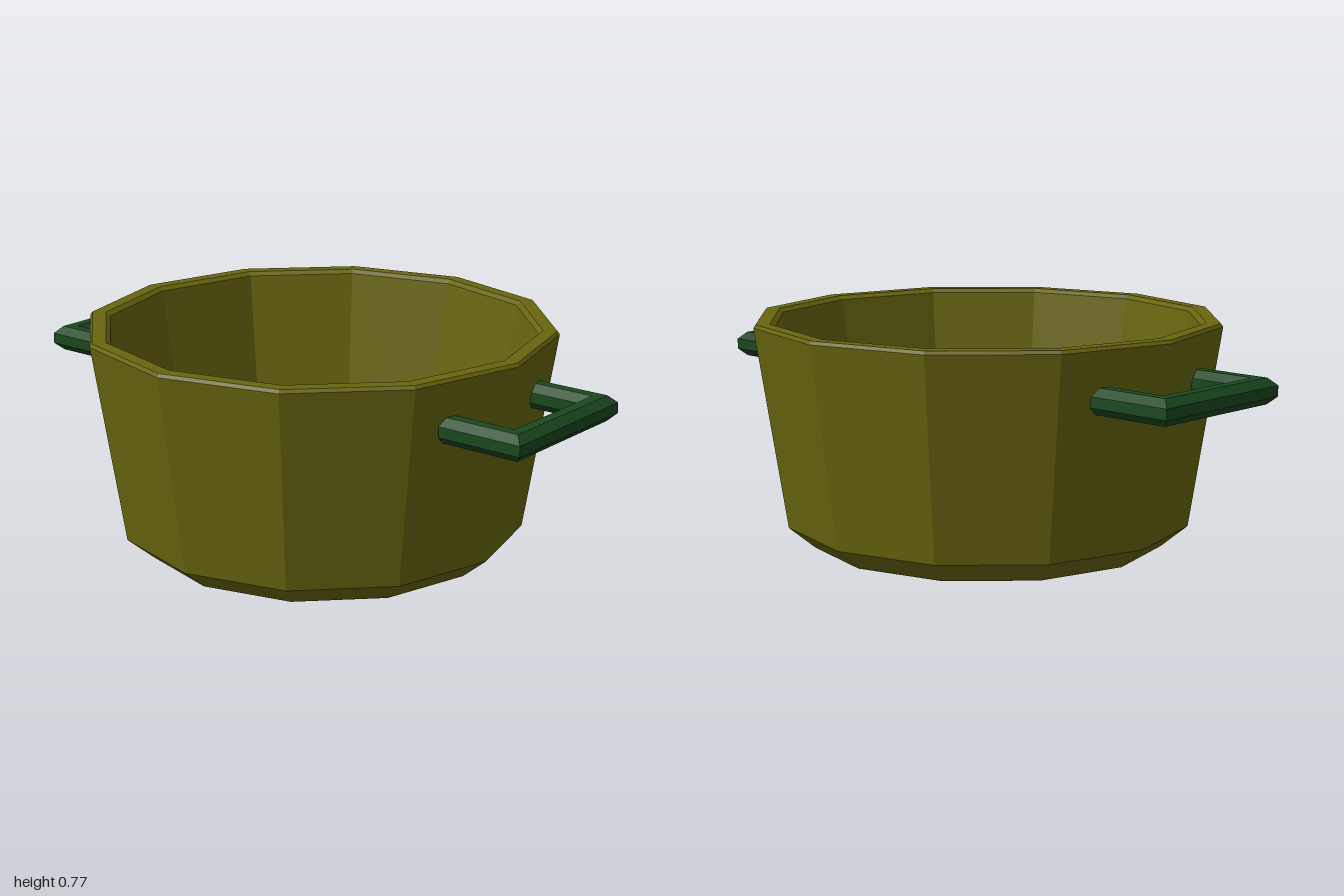
import * as THREE from 'three';

// Half of the handle's depth to its centre line, and the bar's half thickness
const HALF = 0.238, R = 0.043;

// U-shaped octagonal bar with mitred corners, opening towards -x
function handleGeometry() {
  const path = [ // x, z, outward direction x, z
    [0.70, HALF, 0, 1], [0.957, HALF, 1, 1],
    [0.957, -HALF, 1, -1], [0.70, -HALF, 0, -1],
  ];
  const n = 8, r = R / Math.cos(Math.PI / n), pos = [], idx = [];
  for (const [x, z, ox, oz] of path) {
    for (let i = 0; i < n; i++) {
      const a = (i + 0.5) * 2 * Math.PI / n, c = r * Math.cos(a);
      pos.push(x + ox * c, r * Math.sin(a), z + oz * c);
    }
  }
  for (let j = 0; j < path.length - 1; j++) {
    for (let i = 0; i < n; i++) {
      const a = j * n + i, b = j * n + (i + 1) % n;
      idx.push(a, a + n, b, b, a + n, b + n);
    }
  }
  // End caps
  const last = (path.length - 1) * n;
  for (let i = 1; i < n - 1; i++) {
    idx.push(0, i, i + 1, last, last + i + 1, last + i);
  }
  const g = new THREE.BufferGeometry();
  g.setAttribute('position', new THREE.Float32BufferAttribute(pos, 3));
  g.setIndex(idx);
  g.computeVertexNormals();
  return g;
}

export function createModel() {
  const model = new THREE.Group();
  model.name = 'cookingPot';
  const olive = new THREE.MeshStandardMaterial({ color: 0x68660f, flatShading: true });
  const green = new THREE.MeshStandardMaterial({ color: 0x1a481f, flatShading: true });

  // Pot: underside, bevelled foot, flared wall, rim, inner wall, floor
  const profile = [
    [0, 0], [0.605, 0], [0.695, 0.075], [0.8, 0.757], [0.792, 0.768],
    [0.745, 0.768], [0.73, 0.755], [0.627, 0.1], [0.54, 0.04], [0, 0.04],
  ].map(([x, y]) => new THREE.Vector2(x, y));
  const pot = new THREE.Mesh(new THREE.LatheGeometry(profile, 12), olive);
  pot.name = 'pot';
  model.add(pot);

  // Handles on both sides
  const geometry = handleGeometry();
  for (const [name, turn] of [['leftHandle', 0], ['rightHandle', Math.PI]]) {
    const handle = new THREE.Mesh(geometry, green);
    handle.name = name;
    handle.position.set(0, 0.595, 0.007);
    handle.rotation.y = turn;
    model.add(handle);
  }
  return model;
}
